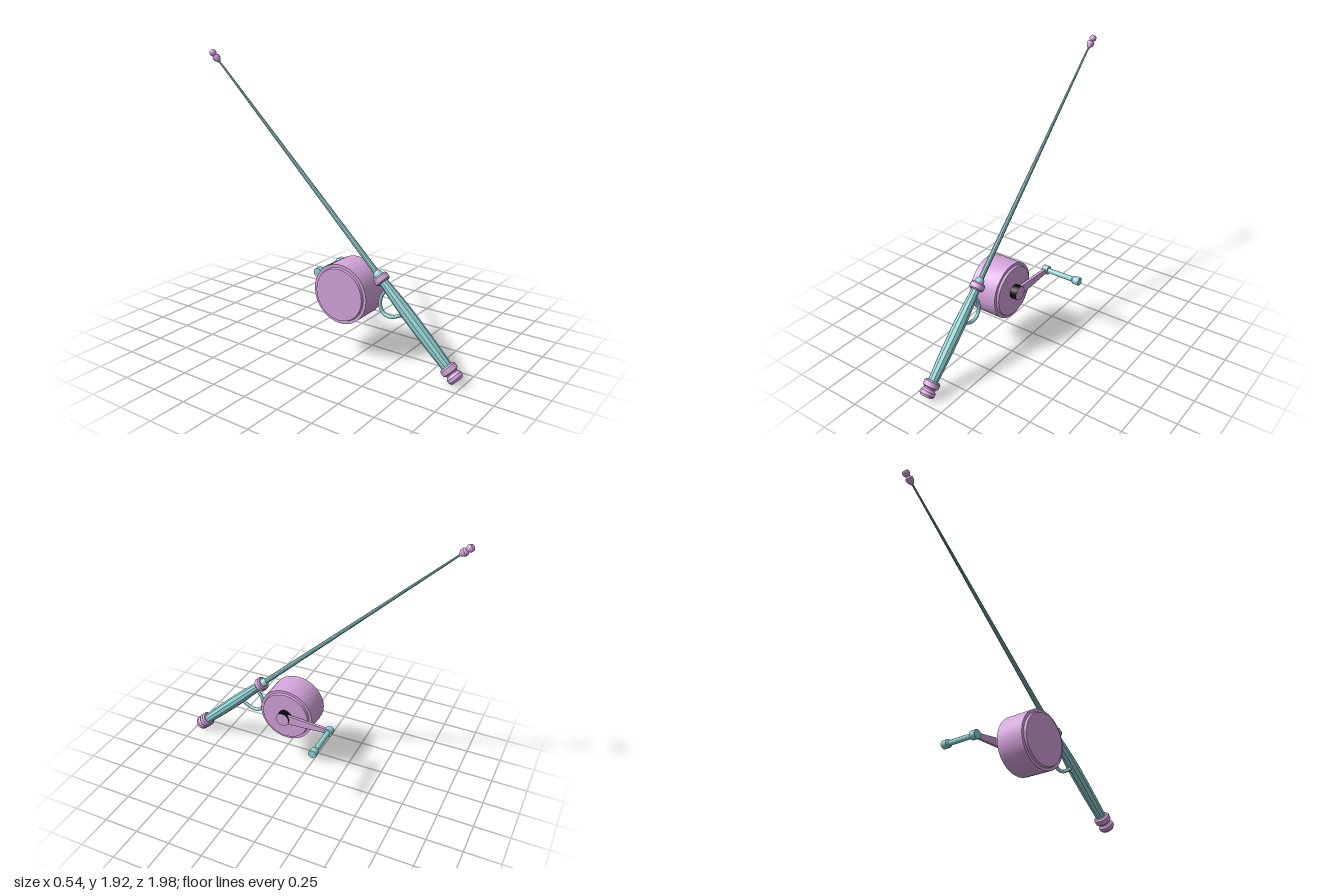
import * as THREE from 'three';
import { toCreasedNormals } from 'three/addons/utils/BufferGeometryUtils.js';

const pink = new THREE.MeshStandardMaterial({ color: 0xd4a5dc });
pink.name = 'pink';
const teal = new THREE.MeshStandardMaterial({ color: 0x93d4d6 });
teal.name = 'teal';
const black = new THREE.MeshStandardMaterial({ color: 0x080808 });
black.name = 'black';

function addMesh(parent, name, geometry, material) {
  const mesh = new THREE.Mesh(geometry, material);
  mesh.name = name;
  parent.add(mesh);
  return mesh;
}

// Turned part along local y; the profile lists [radius, height] from bottom to top
function turned(parent, name, profile, material, sides = 16) {
  const points = profile.map(([r, h]) => new THREE.Vector2(r, h));
  const geometry = toCreasedNormals(new THREE.LatheGeometry(points, sides), 0.6);
  return addMesh(parent, name, geometry, material);
}

// Turned part along the x axis, centred on the given y and z
function turnedX(parent, name, profile, material, y, z, sides) {
  const mesh = turned(parent, name, profile, material, sides);
  mesh.rotation.z = -Math.PI / 2;
  mesh.position.set(0, y, z);
  return mesh;
}

export function createModel() {
  const model = new THREE.Group();
  model.name = 'fishingRod';
  const rodX = -0.155;

  // Leaning rod: local y runs from the butt to the tip
  const rod = new THREE.Group();
  rod.name = 'rod';
  rod.position.set(rodX, 0.043, 0.965);
  rod.rotation.x = -0.802;
  model.add(rod);

  turned(rod, 'buttCap', [
    [0, 0], [0.04, 0], [0.052, 0.015], [0.052, 0.035], [0.04, 0.052],
    [0.042, 0.06], [0.054, 0.066], [0.055, 0.098], [0.044, 0.108], [0, 0.108],
  ], pink);
  turned(rod, 'handle', [
    [0, 0.1], [0.035, 0.1], [0.041, 0.3], [0.042, 0.5], [0.036, 0.64], [0.028, 0.76], [0, 0.76],
  ], teal, 10);
  turned(rod, 'collar', [
    [0, 0.745], [0.044, 0.745], [0.051, 0.753], [0.051, 0.785], [0.044, 0.794], [0, 0.794],
  ], pink);
  turned(rod, 'poleSocket', [
    [0, 0.79], [0.032, 0.79], [0.03, 0.815], [0.018, 0.83], [0, 0.83],
  ], teal);
  turned(rod, 'pole', [[0, 0.8], [0.019, 0.8], [0.006, 2.65], [0, 2.65]], teal, 10);
  turned(rod, 'tip', [
    [0, 2.605], [0.01, 2.605], [0.025, 2.63], [0.026, 2.648], [0.014, 2.66],
    [0.024, 2.675], [0.024, 2.69], [0.018, 2.7], [0, 2.7],
  ], pink, 12);

  // Finger loop under the handle
  const loop = [
    [0.525, 0.46], [0.465, 0.415], [0.395, 0.406], [0.35, 0.432], [0.338, 0.48], [0.36, 0.54], [0.39, 0.59],
  ].map(([y, z]) => new THREE.Vector3(rodX, y, z));
  addMesh(model, 'fingerLoop',
    new THREE.TubeGeometry(new THREE.CatmullRomCurve3(loop), 28, 0.012, 8), teal);

  // Reel drum with a raised plate on each side
  const reelY = 0.45, reelZ = 0.165;
  turnedX(model, 'reelDrum', [
    [0, -0.273], [0.175, -0.273], [0.18, -0.258], [0.2, -0.258],
    [0.2, -0.054], [0.18, -0.054], [0.175, -0.038], [0, -0.038],
  ], pink, reelY, reelZ, 32);

  // Crank hub with a dark side and a pink end face
  turnedX(model, 'crankHub', [[0.05, -0.04], [0.05, 0.012]], black, reelY, reelZ, 16);
  turnedX(model, 'hubFace', [[0.05, 0.012], [0, 0.012]], pink, reelY, reelZ, 16);

  // Tapered crank arm
  const arm = new THREE.Shape();
  arm.moveTo(-reelZ, -0.037);
  arm.lineTo(0.185, -0.016);
  arm.lineTo(0.185, 0.016);
  arm.lineTo(-reelZ, 0.037);
  const armGeometry = new THREE.ExtrudeGeometry(arm, { depth: 0.02, bevelEnabled: false });
  armGeometry.rotateY(Math.PI / 2);
  addMesh(model, 'crankArm', armGeometry, pink).position.set(-0.02, reelY, 0);

  // Crank grip: boss, spindle and end knob
  turnedX(model, 'crankGrip', [
    [0, -0.033], [0.031, -0.033], [0.031, 0.01], [0.018, 0.01], [0.018, 0.208],
    [0.024, 0.213], [0.029, 0.22], [0.029, 0.265], [0, 0.265],
  ], teal, reelY, -0.185, 16);

  return model;
}
